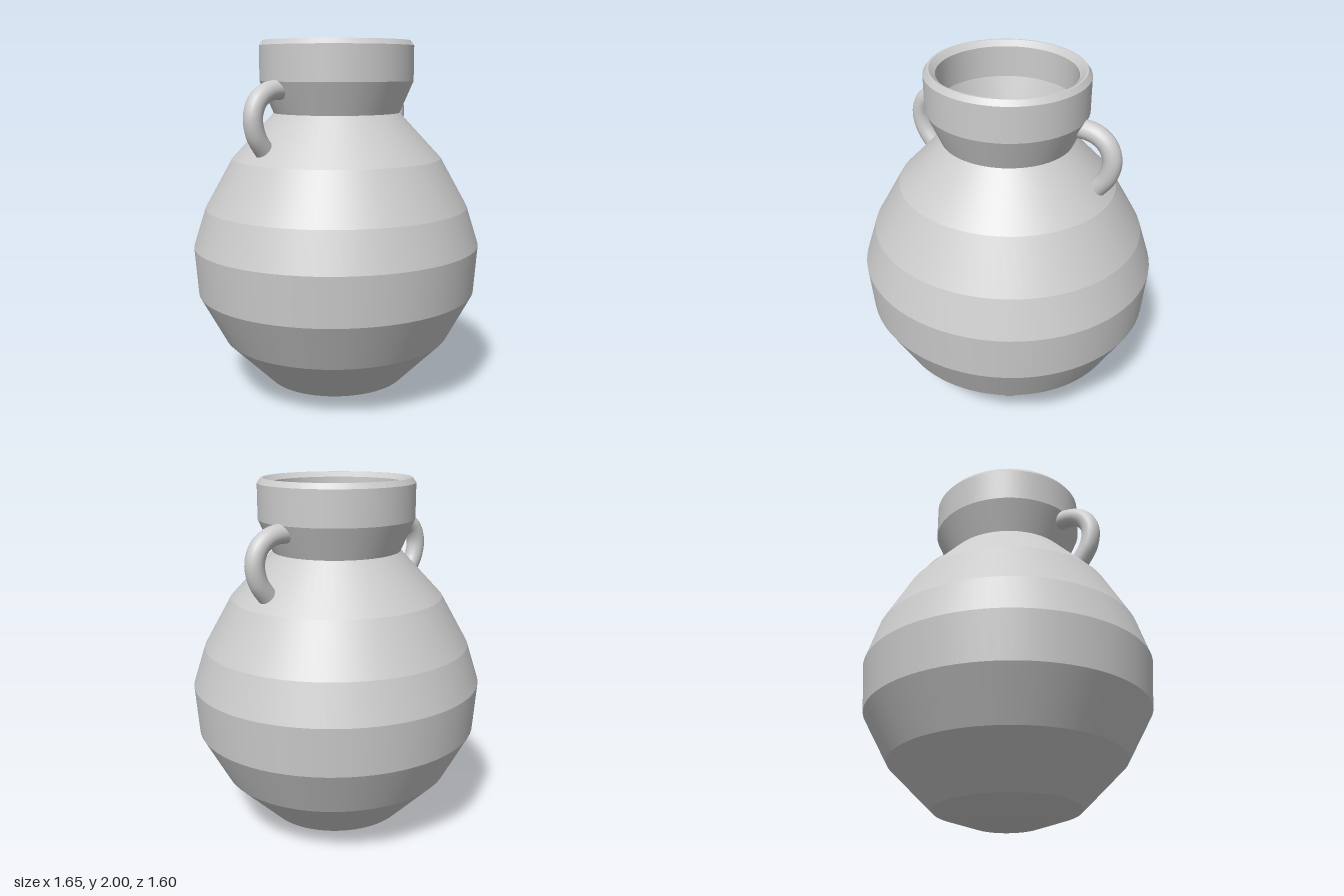
import * as THREE from 'three';
import { mergeGeometries } from 'three/addons/utils/BufferGeometryUtils.js';

const DEPTH = 0.968; // the pot is slightly narrower front to back
const clay = new THREE.MeshStandardMaterial({ color: 0xcccccc });
clay.name = 'pale grey clay';

// Turned form: every band is smooth around and creased against its neighbours
function turned(name, profile) {
  const bands = [];
  for (let i = 0; i < profile.length - 1; i++) {
    const pair = [profile[i], profile[i + 1]].map(([r, y]) => new THREE.Vector2(r, y));
    bands.push(new THREE.LatheGeometry(pair, 72));
  }
  const mesh = new THREE.Mesh(mergeGeometries(bands), clay);
  mesh.name = name;
  mesh.scale.z = DEPTH;
  return mesh;
}

// Bent round handle, its ends sunk into the neck and the shoulder
function handle(name, side) {
  const points = [
    [0.385, 1.737], [0.45, 1.736], [0.51, 1.72], [0.565, 1.676],
    [0.593, 1.6], [0.575, 1.505], [0.511, 1.412],
  ].map(([x, y]) => new THREE.Vector3(side * x, y, -0.043));
  const path = new THREE.CatmullRomCurve3(points);
  const mesh = new THREE.Mesh(new THREE.TubeGeometry(path, 32, 0.052, 20), clay);
  mesh.name = name;
  return mesh;
}

export function createModel() {
  const pot = new THREE.Group();
  pot.name = 'twoHandledPot';

  // Foot, belly and shoulder
  pot.add(turned('body', [
    [0, 0], [0.19, 0.003], [0.405, 0.077], [0.66, 0.33], [0.805, 0.597],
    [0.825, 0.865], [0.755, 1.08], [0.6, 1.352], [0.36, 1.605],
  ]));

  // Flared neck, upright collar and bevelled lip
  pot.add(turned('neckAndRim', [
    [0.36, 1.605], [0.437, 1.78], [0.437, 1.972], [0.416, 2], [0.405, 2], [0.372, 1.972],
  ]));

  // Hollow inside, from the lip down to the floor
  pot.add(turned('interior', [
    [0.372, 1.972], [0.372, 1.8], [0.312, 1.61], [0.555, 1.31], [0.7, 1.05], [0.765, 0.85],
    [0.745, 0.61], [0.6, 0.36], [0.37, 0.13], [0.15, 0.06], [0, 0.06],
  ]));

  pot.add(handle('leftHandle', 1), handle('rightHandle', -1));
  return pot;
}
